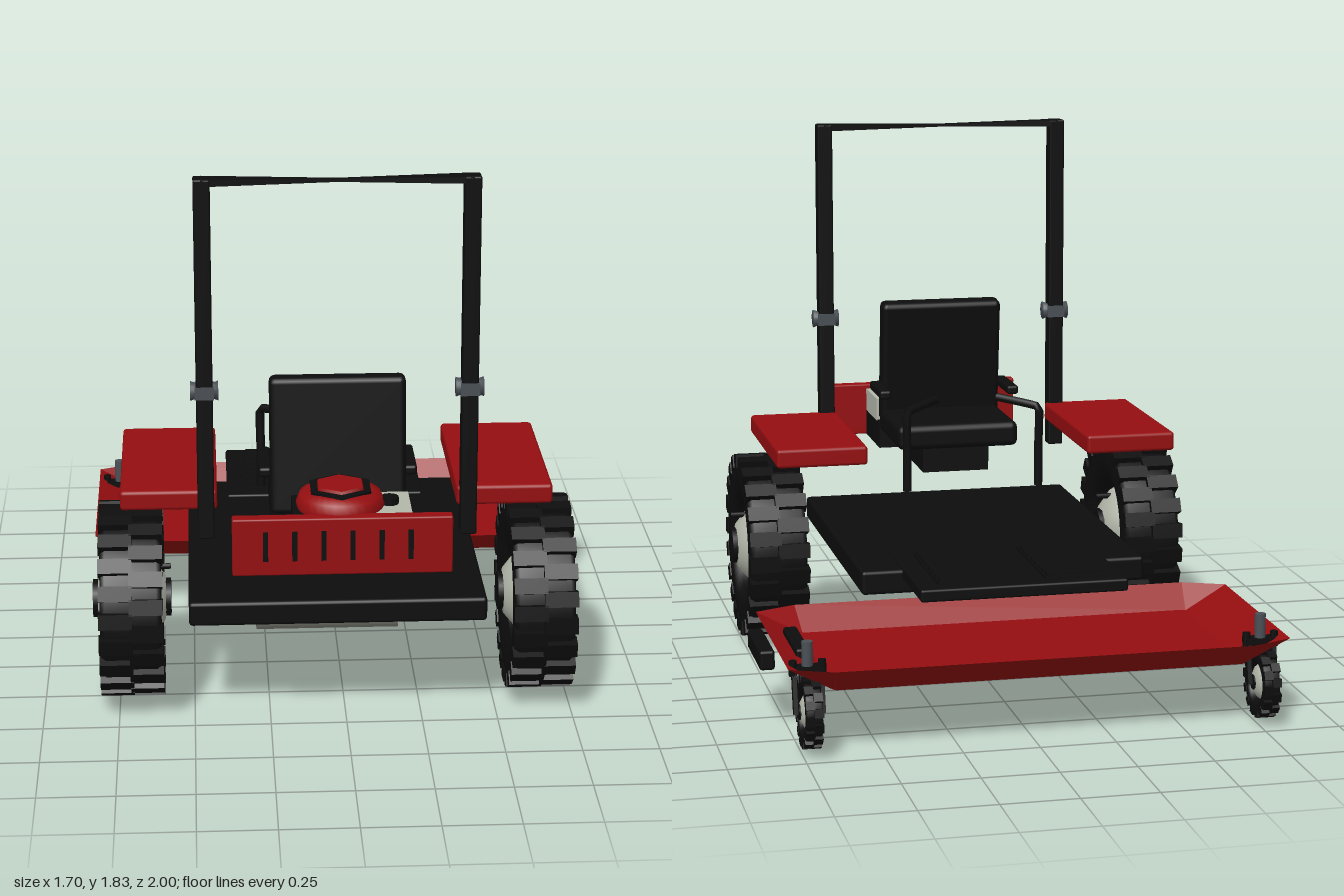
import * as THREE from 'three';
import { RoundedBoxGeometry } from 'three/addons/geometries/RoundedBoxGeometry.js';

const mat = (name, color, side = THREE.FrontSide) => {
  const m = new THREE.MeshStandardMaterial({ color, side });
  m.name = name;
  return m;
};

export function createModel() {
  const red = mat('red paint', 0x960e10, THREE.DoubleSide);
  const black = mat('black', 0x0d0d0d);
  const cream = mat('pale metal', 0xb4b8aa);
  const steel = mat('steel grey', 0x4a5056);
  const bladeGrey = mat('blade grey', 0x55564f);
  const CX = -0.027; // centre line of the machine

  const root = new THREE.Group();
  root.name = 'ridingMower';
  const add = (name, geo, m, x = 0, y = 0, z = 0, parent = root) => {
    const mesh = new THREE.Mesh(geo, m);
    mesh.name = name;
    mesh.position.set(x, y, z);
    parent.add(mesh);
    return mesh;
  };
  // box given by its limits on each axis, slightly rounded when r > 0
  const box = (name, m, x0, x1, y0, y1, z0, z1, r = 0, parent = root) => {
    const s = [x1 - x0, y1 - y0, z1 - z0];
    const geo = r ? new RoundedBoxGeometry(...s, 2, r) : new THREE.BoxGeometry(...s);
    return add(name, geo, m, (x0 + x1) / 2, (y0 + y1) / 2, (z0 + z1) / 2, parent);
  };
  const axial = (r, len, n = 24) => new THREE.CylinderGeometry(r, r, len, n).rotateZ(Math.PI / 2);
  const rod = (name, m, points, r) => {
    const curve = new THREE.CatmullRomCurve3(points.map(p => new THREE.Vector3(...p)), false, 'catmullrom', 0.1);
    return add(name, new THREE.TubeGeometry(curve, 20, r, 8), m);
  };

  // wheel with axle along x: hollow tyre, staggered lugs, domed hub, centre cap
  const wheel = (name, x, y, z, R, w, rIn, lugs, lugDepth) => {
    const g = new THREE.Group();
    g.name = name;
    g.position.set(x, y, z);
    root.add(g);
    const r = R - lugDepth, h = w / 2;
    const profile = [[rIn, -h * 0.75], [rIn + (r - rIn) * 0.4, -h * 0.95], [r * 0.95, -h * 0.95], [r, -h * 0.8],
      [r, h * 0.8], [r * 0.95, h * 0.95], [rIn + (r - rIn) * 0.4, h * 0.95], [rIn, h * 0.75], [rIn, -h * 0.75]]
      .map(p => new THREE.Vector2(...p));
    add('tyre', new THREE.LatheGeometry(profile, 48).rotateZ(-Math.PI / 2), black, 0, 0, 0, g);
    const lugGeo = new THREE.BoxGeometry(h * 1.05, lugDepth * 2.4, (Math.PI * 2 * R / lugs) * 0.55);
    for (let i = 0; i < lugs * 2; i++) {
      const s = i % 2 ? 1 : -1, a = (i / (lugs * 2)) * Math.PI * 2;
      const lug = add('treadLug', lugGeo, black, s * h * 0.475, Math.cos(a) * (R - lugDepth * 1.2), Math.sin(a) * (R - lugDepth * 1.2), g);
      lug.rotation.x = a;
    }
    const rh = rIn * 0.93;
    const dome = [[0, -0.6], [rh * 0.5, -0.52], [rh * 0.85, -0.3], [rh, -0.05], [rh, 0.05], [rh * 0.85, 0.3], [rh * 0.5, 0.52], [0, 0.6]]
      .map(([a, b]) => new THREE.Vector2(a, b * w));
    add('hub', new THREE.LatheGeometry(dome, 40).rotateZ(-Math.PI / 2), cream, 0, 0, 0, g);
    add('hubCap', axial(rIn * 0.38, w * 1.24, 10), black, 0, 0, 0, g);
    return g;
  };

  // drive wheels
  for (const s of [-1, 1]) {
    const g = wheel('driveWheel', CX + s * 0.677, 0.347, 0.47, 0.325, 0.21, 0.168, 22, 0.02);
    add('valveStem', axial(0.01, 0.1, 8), black, 0.08, 0.11, 0, g);
  }

  // casters with two-armed forks and a swivel post
  for (const s of [-1, 1]) {
    const x = CX + s * 0.748;
    wheel('casterWheel', x, 0.135, -0.88, 0.117, 0.056, 0.065, 14, 0.01);
    for (const t of [-1, 1]) {
      const arm = add('casterForkArm', new THREE.BoxGeometry(0.014, 0.15, 0.024), black, x + t * 0.044, 0.2, -0.862);
      arm.rotation.x = 0.25;
      add('casterBolt', new THREE.CylinderGeometry(0.013, 0.013, 0.05, 10), black, x + t * 0.047, 0.27, -0.85);
    }
    box('casterForkCrown', black, x - 0.052, x + 0.052, 0.255, 0.275, -0.87, -0.82);
    add('casterPost', new THREE.CylinderGeometry(0.018, 0.018, 0.09, 14), steel, x, 0.31, -0.845);
  }

  // mowing deck: flat floor with flared, corner-cut sides
  const ring = (x0, x1, z0, z1, cx, cz, y) => [[x0 + cx, z0], [x1 - cx, z0], [x1, z0 + cz], [x1, z1 - cz],
    [x1 - cx, z1], [x0 + cx, z1], [x0, z1 - cz], [x0, z0 + cz]].map(([x, z]) => [x, y, z]);
  const rim = ring(-0.85, 0.795, -0.99, -0.175, 0.14, 0.06, 0.29);
  const floor = ring(-0.70, 0.65, -0.925, -0.25, 0.01, 0.01, 0.212);
  const tri = [];
  for (let i = 0; i < 8; i++) {
    const j = (i + 1) % 8;
    tri.push(...rim[i], ...floor[j], ...floor[i], ...rim[i], ...rim[j], ...floor[j]);
    if (i > 0 && i < 7) tri.push(...floor[0], ...floor[i + 1], ...floor[i]);
  }
  const deckGeo = new THREE.BufferGeometry();
  deckGeo.setAttribute('position', new THREE.Float32BufferAttribute(tri, 3));
  deckGeo.computeVertexNormals();
  add('mowingDeck', deckGeo, red);
  box('dischargeChute', black, 0.795, 0.845, 0.21, 0.275, -0.66, -0.38, 0.01);
  box('chuteBracket', black, 0.68, 0.727, 0.235, 0.275, -0.66, -0.38, 0.01);
  box('lowerBlade', bladeGrey, -0.28, 0.225, 0.003, 0.013, -0.08, -0.035);

  // chassis, footplate and ribbed foot pads
  box('chassis', black, -0.515, 0.458, 0.362, 0.443, -0.375, 0.765, 0.012);
  box('footPlate', black, -0.375, 0.32, 0.41, 0.452, -0.68, -0.2, 0.008);
  for (const s of [-1, 1]) {
    const x = CX + s * 0.18;
    box('footPad', black, x - 0.1, x + 0.1, 0.45, 0.46, -0.64, -0.21);
    for (let i = 0; i < 8; i++) {
      const z = -0.61 + i * 0.05;
      box('footPadRib', black, x - 0.095, x + 0.095, 0.458, 0.472, z - 0.015, z + 0.015);
    }
  }

  // fenders, armrests and steering levers
  for (const s of [-1, 1]) {
    const x = CX + s * 0.548;
    box('fender', red, x - 0.158, x + 0.158, 0.72, 0.786, 0.01, 0.64, 0.012);
    const a = CX + s * 0.235;
    box('armrest', black, a - 0.021, a + 0.021, 0.85, 0.882, 0.485, 0.7, 0.01);
    rod('steeringLever', black, [[a, 0.6, 0.102], [a, 0.75, 0.102], [a, 0.88, 0.1], [CX + s * 0.11, 0.9, 0.205]], 0.015);
  }

  // seat
  box('seatBase', black, -0.15, 0.09, 0.595, 0.7, 0.4, 0.68);
  box('seatCushion', black, -0.247, 0.192, 0.69, 0.78, 0.335, 0.72, 0.025);
  const back = box('seatBack', black, -0.247, 0.192, 0.73, 1.18, 0.635, 0.715, 0.02);
  back.rotation.x = -0.1;

  // roll bar: hinged posts and a crossbar pinched toward the middle
  for (const s of [-1, 1]) {
    const x = CX + s * 0.427;
    box('rollBarPost', black, x - 0.027, x + 0.027, 0.63, 1.832, 0.612, 0.672, 0.006);
    const hinge = [[0, -0.045], [0.032, -0.045], [0.016, 0], [0.032, 0.045], [0, 0.045]].map(p => new THREE.Vector2(...p));
    add('rollBarHinge', new THREE.LatheGeometry(hinge, 16).rotateZ(-Math.PI / 2), steel, x, 1.13, 0.642);
    box('hingeCollar', steel, x - 0.031, x + 0.031, 1.108, 1.15, 0.608, 0.676);
  }
  const bar = new THREE.BoxGeometry(0.86, 0.022, 0.06, 12, 1, 1);
  const bp = bar.attributes.position;
  for (let i = 0; i < bp.count; i++) {
    const k = Math.abs(bp.getX(i)) / 0.43;
    bp.setY(i, bp.getY(i) * (0.45 + 0.55 * k));
    bp.setZ(i, bp.getZ(i) * (0.25 + 0.75 * k));
  }
  bar.computeVertexNormals();
  add('rollBarCrossbar', bar, black, CX, 1.82, 0.642);

  // engine with pale cover, domed fan housing and slotted guard
  box('engineBlock', black, -0.18, 0.195, 0.63, 0.728, 0.69, 0.95);
  box('engineSide', black, -0.18, 0.0, 0.72, 0.8, 0.72, 0.94);
  box('engineCover', cream, 0, 0.197, 0.724, 0.806, 0.73, 0.94);
  add('fillerCap', new THREE.CylinderGeometry(0.03, 0.03, 0.025, 14), black, 0.13, 0.815, 0.83);
  const housing = [[0.135, 0.79], [0.142, 0.815], [0.13, 0.845], [0.1, 0.86], [0, 0.86]].map(p => new THREE.Vector2(...p));
  add('fanHousing', new THREE.LatheGeometry(housing, 32), red, CX, 0, 0.83);
  add('fanScreen', new THREE.CylinderGeometry(0.11, 0.11, 0.008, 6), black, CX, 0.863, 0.83);
  add('fanCap', new THREE.CylinderGeometry(0.08, 0.085, 0.012, 6), red, CX, 0.87, 0.83);
  box('engineGuard', red, -0.375, 0.32, 0.63, 0.82, 0.95, 0.995, 0.006);
  for (let i = 0; i < 6; i++) {
    const x = -0.27 + i * 0.0915;
    box('guardSlot', black, x - 0.008, x + 0.008, 0.68, 0.778, 0.992, 0.999);
  }
  return root;
}
